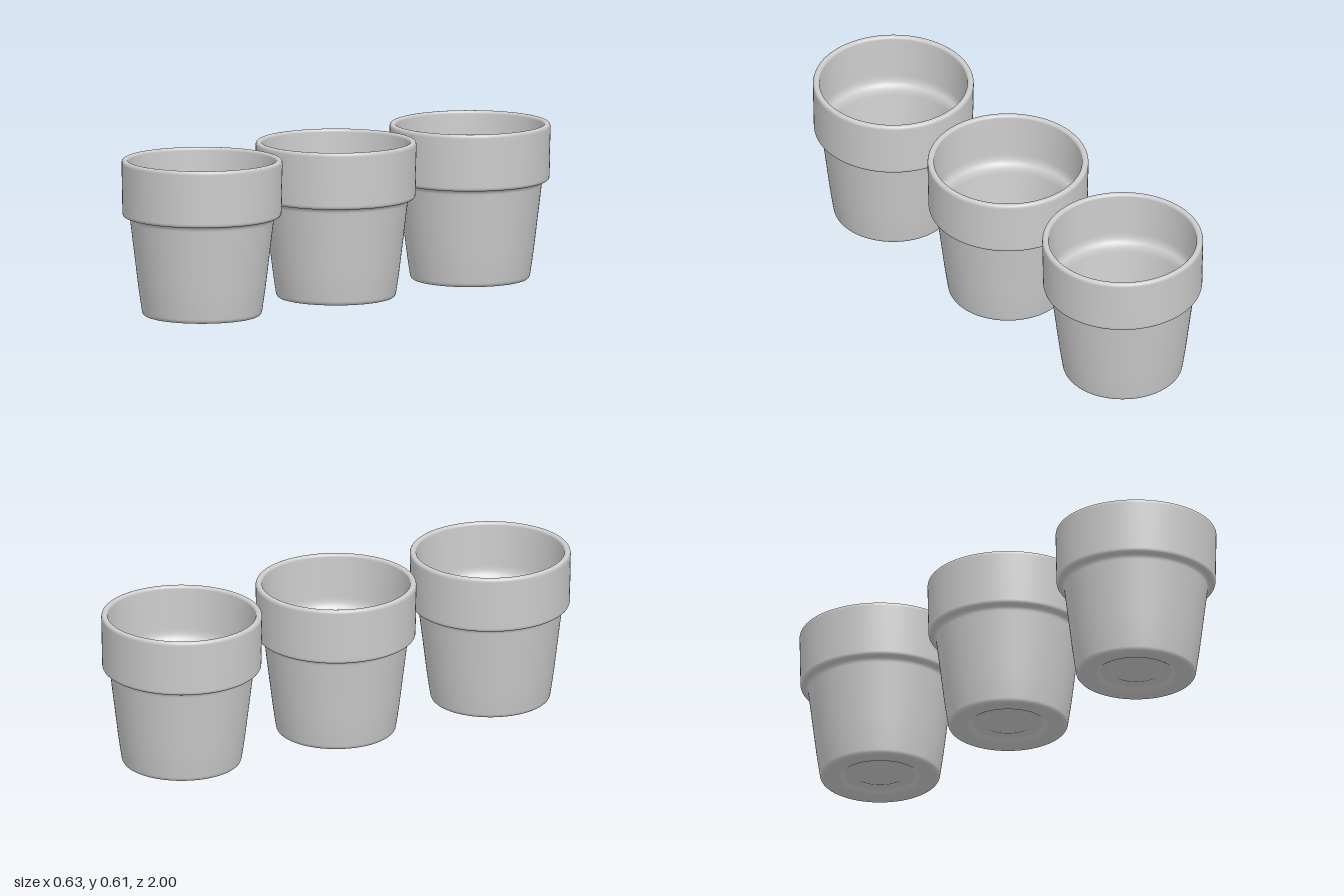
import * as THREE from 'three';

// Turns corners [radius, height, fillet] into a smooth profile
function roundedProfile(corners) {
  const pts = [];
  corners.forEach(([x, y, fillet], i) => {
    const p = new THREE.Vector2(x, y);
    if (!fillet) { pts.push(p); return; }
    const toward = ([qx, qy]) => {
      const d = new THREE.Vector2(qx - x, qy - y);
      return p.clone().add(d.setLength(Math.min(fillet, d.length() * 0.48)));
    };
    const curve = new THREE.QuadraticBezierCurve(toward(corners[i - 1]), p, toward(corners[i + 1]));
    pts.push(...curve.getPoints(6));
  });
  return pts;
}

// Closed section: underside, outer wall, rim, inner wall, floor
const POT_SECTION = [
  [0, 0.016, 0],
  [0.095, 0.016, 0.006],
  [0.1, 0.02, 0.006],
  [0.135, 0.02, 0.01],
  [0.16, 0, 0.015],
  [0.231, 0, 0.018],
  [0.246, 0.1, 0.04],
  [0.281, 0.388, 0.018],
  [0.309, 0.39, 0.015],
  [0.313, 0.613, 0.016],
  [0.288, 0.613, 0.012],
  [0.281, 0.41, 0.025],
  [0.258, 0.385, 0.025],
  [0.204, 0.035, 0.022],
  [0.034, 0.035, 0.006],
  [0.026, 0.032, 0.005],
  [0, 0.032, 0],
];

export function createModel() {
  const group = new THREE.Group();
  group.name = 'flowerPots';
  const clay = new THREE.MeshStandardMaterial({ color: 0xcccccc });
  const geometry = new THREE.LatheGeometry(roundedProfile(POT_SECTION), 96);

  // Row of three identical pots
  ['backPot', 'middlePot', 'frontPot'].forEach((name, i) => {
    const pot = new THREE.Mesh(geometry, clay);
    pot.name = name;
    pot.position.z = (i - 1) * 0.687;
    group.add(pot);
  });
  return group;
}
